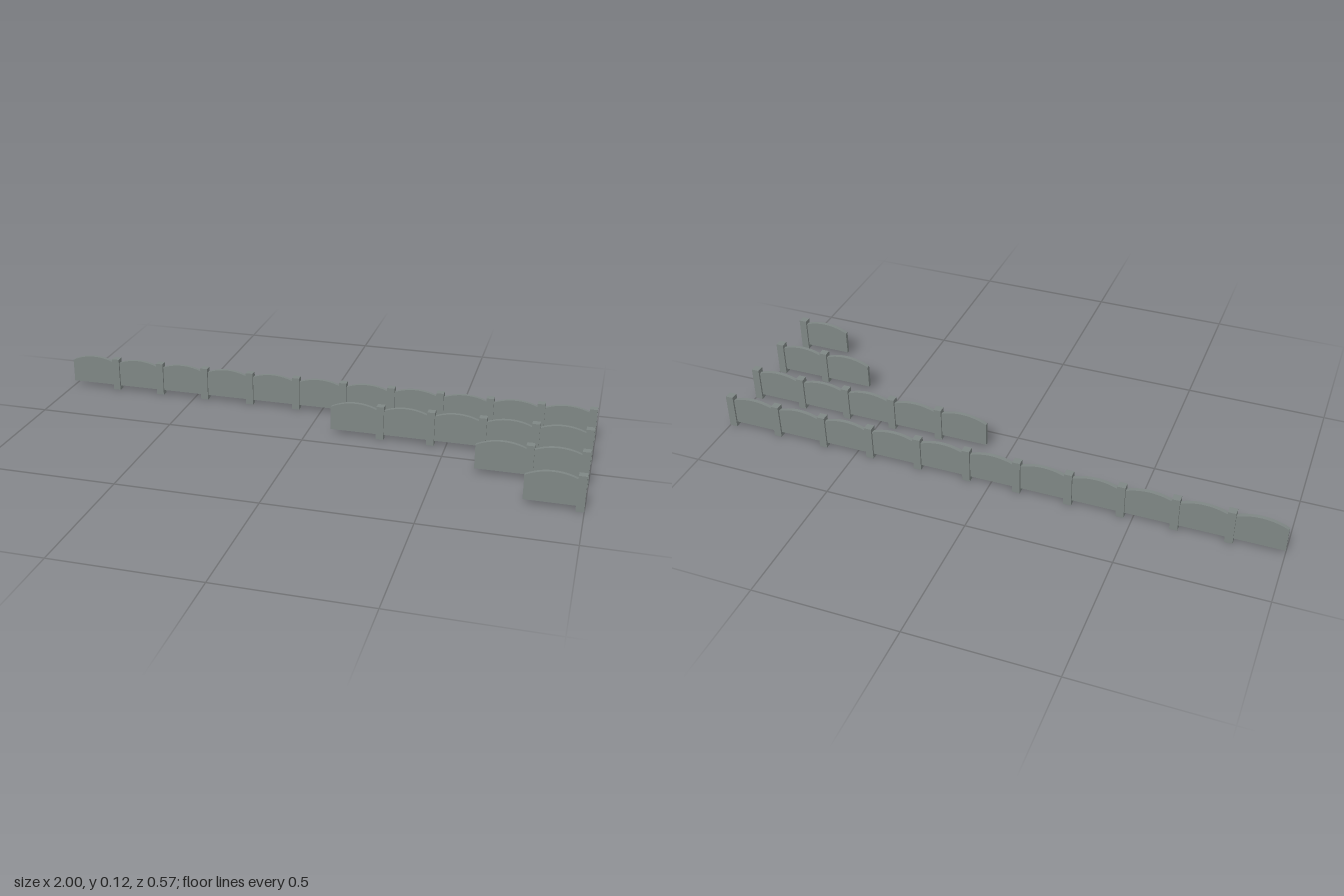
import * as THREE from 'three';

const SPACING = 0.1806, POST = 0.0273, HEIGHT = 0.125;
const PANEL_BOTTOM = 0.017, PANEL_EDGE = 0.103, THICK = 0.0135;

// Panel with an arched top edge, running from x = -SPACING to x = 0
function panelGeometry() {
  const half = SPACING / 2, rise = HEIGHT - PANEL_EDGE;
  const radius = (half * half + rise * rise) / (2 * rise);
  const sweep = Math.asin(half / radius);
  const shape = new THREE.Shape();
  shape.moveTo(-SPACING, PANEL_BOTTOM);
  shape.lineTo(0, PANEL_BOTTOM);
  shape.lineTo(0, PANEL_EDGE);
  shape.absarc(-half, HEIGHT - radius, radius, Math.PI / 2 - sweep, Math.PI / 2 + sweep, false);
  shape.closePath();
  return new THREE.ExtrudeGeometry(shape, { depth: THICK, bevelEnabled: false, curveSegments: 12 })
    .translate(0, 0, -THICK / 2);
}

export function createModel() {
  const model = new THREE.Group();
  model.name = 'fenceSet';
  const material = new THREE.MeshStandardMaterial({ color: 0x7e8684, flatShading: true });
  const panelGeo = panelGeometry();
  const postGeo = new THREE.BoxGeometry(POST, HEIGHT, POST).translate(0, HEIGHT / 2, 0);

  // Fence runs of growing length, aligned at the right-hand post
  [1, 2, 5, 11].forEach((count, row) => {
    const fence = new THREE.Group();
    fence.name = `fenceRun${count}`;
    fence.position.set(1 - POST / 2, 0, 0.2715 - row * 0.181);
    for (let i = 0; i < count; i++) {
      const panel = new THREE.Mesh(panelGeo, material);
      panel.name = 'archedPanel';
      const post = new THREE.Mesh(postGeo, material);
      post.name = 'post';
      panel.position.x = post.position.x = -i * SPACING;
      fence.add(panel, post);
    }
    model.add(fence);
  });
  return model;
}
